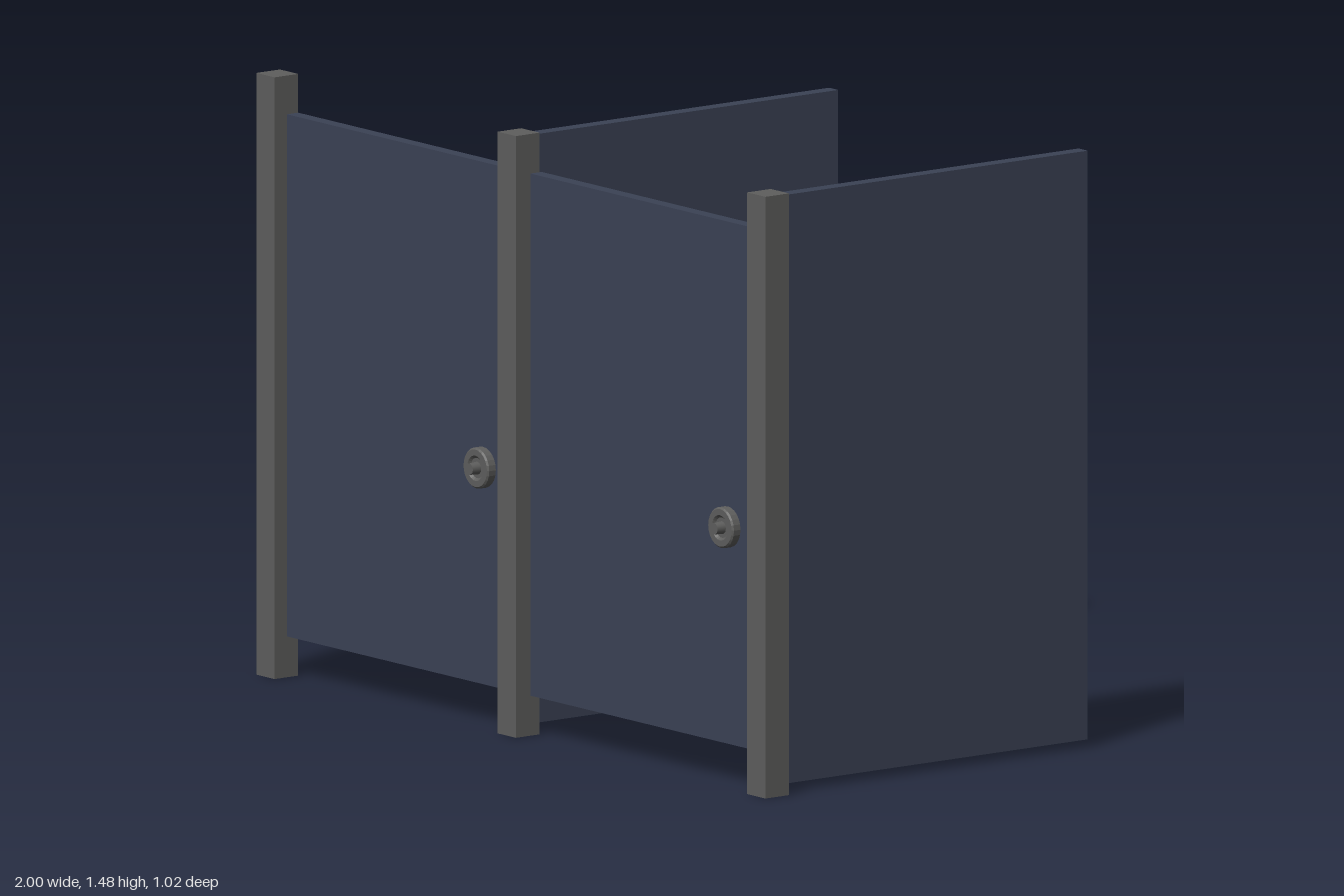
import * as THREE from 'three';

export function createModel() {
  const group = new THREE.Group();
  const navy = new THREE.MeshStandardMaterial({ color: 0x3b4255 });
  navy.name = 'navy panel';
  const grey = new THREE.MeshStandardMaterial({ color: 0x5e5e5d });
  grey.name = 'grey metal';

  // Box given by its minimum and maximum on each axis
  const slab = (name, material, [x0, x1], [y0, y1], [z0, z1]) => {
    const mesh = new THREE.Mesh(new THREE.BoxGeometry(x1 - x0, y1 - y0, z1 - z0), material);
    mesh.position.set((x0 + x1) / 2, (y0 + y1) / 2, (z0 + z1) / 2);
    mesh.name = name;
    group.add(mesh);
  };

  // Front posts
  for (const [name, x] of [['rightPost', -1], ['middlePost', -0.052], ['leftPost', 0.928]])
    slab(name, grey, [x, x + 0.072], [0, 1.475], [0.432, 0.504]);

  // Doors hung between the posts, clear of the floor
  slab('rightDoor', navy, [-0.928, -0.062], [0.1, 1.38], [0.432, 0.466]);
  slab('leftDoor', navy, [0.028, 0.914], [0.1, 1.38], [0.432, 0.466]);

  // Side partitions running back from the posts
  for (const [name, x] of [['middlePartition', -0.055], ['leftPartition', 0.925]])
    slab(name, navy, [x, x + 0.036], [0.02, 1.463], [-0.508, 0.434]);

  // Round latches: shallow dished plate with a small turn knob
  const profile = [[0, 0], [0.05, 0], [0.05, 0.02], [0.046, 0.024], [0.031, 0.024], [0.025, 0.018], [0, 0.018]];
  const plateShape = new THREE.LatheGeometry(profile.map(([r, h]) => new THREE.Vector2(r, h)), 24);
  plateShape.rotateX(Math.PI / 2);
  const knobShape = new THREE.CylinderGeometry(0.014, 0.016, 0.026, 12).rotateX(Math.PI / 2);
  for (const [name, x] of [['rightLatch', -0.158], ['leftLatch', 0.803]]) {
    const latch = new THREE.Group();
    latch.name = name;
    const plate = new THREE.Mesh(plateShape.toNonIndexed(), grey);
    plate.geometry.computeVertexNormals();
    plate.name = 'latchPlate';
    const knob = new THREE.Mesh(knobShape, grey);
    knob.name = 'latchKnob';
    knob.position.z = 0.029;
    latch.add(plate, knob);
    latch.position.set(x, 0.632, 0.466);
    group.add(latch);
  }
  return group;
}
